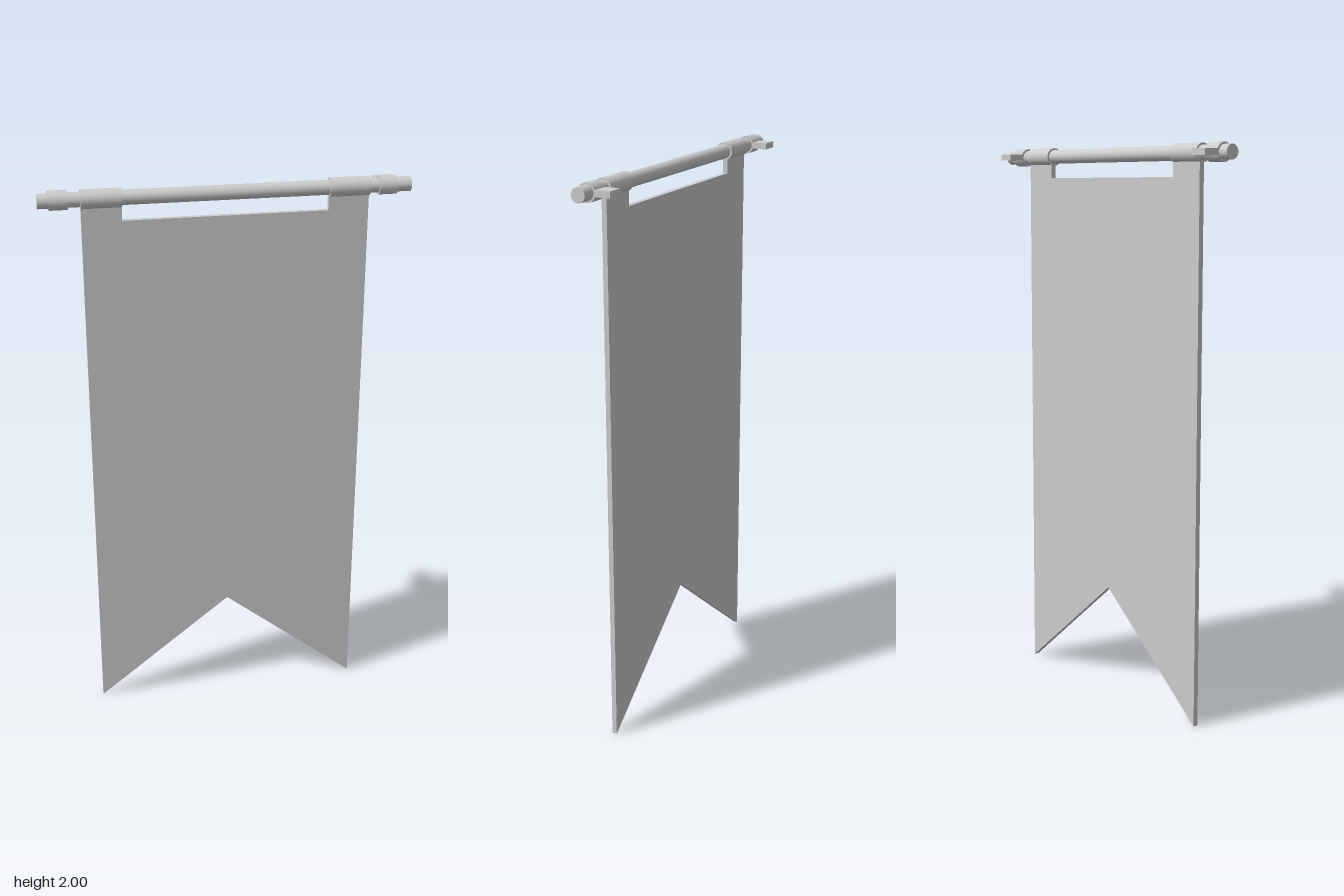
import * as THREE from 'three';

const AXIS_Y = 1.968, AXIS_Z = 0.026;

export function createModel() {
  const group = new THREE.Group();
  const material = new THREE.MeshStandardMaterial({ color: 0xcccccc });

  const add = (name, geometry) => {
    const mesh = new THREE.Mesh(geometry, material);
    mesh.name = name;
    group.add(mesh);
    return mesh;
  };

  // Horizontal cylinder on the pole axis, from x0 to x1
  const rod = (name, radius, x0, x1) => {
    const geometry = new THREE.CylinderGeometry(radius, radius, x1 - x0, 32);
    geometry.rotateZ(Math.PI / 2);
    add(name, geometry).position.set((x0 + x1) / 2, AXIS_Y, AXIS_Z);
  };

  rod('pole', 0.025, -0.628, 0.628);

  // Cloth loops around the pole
  rod('rightClothLoop', 0.032, -0.487, -0.352);
  rod('leftClothLoop', 0.032, 0.347, 0.485);

  // Wall clips: a ring around the pole with a flat tab to the back
  for (const [side, x0, x1] of [['right', -0.591, -0.528], ['left', 0.516, 0.578]]) {
    rod(side + 'ClipRing', 0.032, x0, x1);
    const tab = add(side + 'ClipTab', new THREE.BoxGeometry(x1 - x0, 0.022, 0.06));
    tab.position.set((x0 + x1) / 2, AXIS_Y, -0.028);
  }

  // Banner cloth with a top cut-out between the loops and a swallowtail hem
  const outline = [
    [-0.487, 0], [0, 0.39], [0.485, 0], [0.485, 1.955], [0.347, 1.955],
    [0.347, 1.89], [-0.352, 1.89], [-0.352, 1.955], [-0.487, 1.955],
  ].map(([x, y]) => new THREE.Vector2(x, y));
  const cloth = new THREE.ExtrudeGeometry(new THREE.Shape(outline), { depth: 0.018, bevelEnabled: false });
  add('bannerCloth', cloth).position.z = 0.012;

  return group;
}
